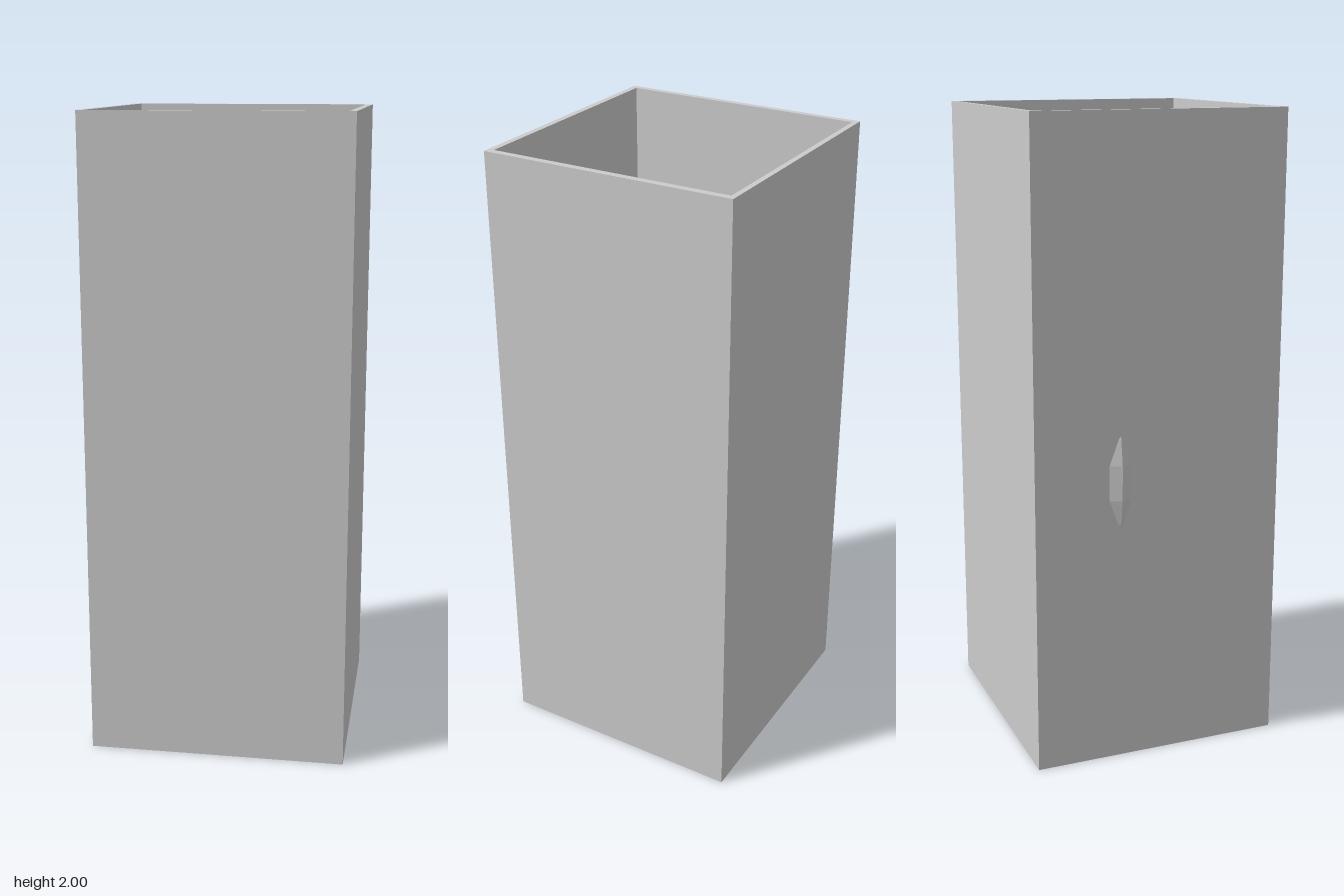
import * as THREE from 'three';

const V2 = (x, y) => new THREE.Vector2(x, y);
const { lerp, smoothstep } = THREE.MathUtils;

// Floor levels, and the lines z(x) along which the ground steps between them
const LOW = 0.005, MID = 0.66, HIGH = 1.12;
const lowLine = [[-0.4, -0.035], [-0.19, -0.03], [-0.09, 0.03], [0, 0.11], [0.07, 0.21], [0.14, 0.32], [0.19, 0.385], [0.41, 0.5]];
const highLine = [[-0.4, -0.2], [0.05, -0.22], [0.062, -0.16], [0.1, -0.11], [0.16, -0.065], [0.28, -0.045], [0.34, 0], [0.37, 0.05], [0.41, 0.09]];

const lineAt = (line, x) => {
  const i = line.findIndex(([px], k) => k > 0 && x <= px);
  const [[x0, z0], [x1, z1]] = [line[i - 1], line[i]];
  return lerp(z0, z1, (x - x0) / (x1 - x0));
};
const levelAt = (x, z) => (z > lineAt(lowLine, x) ? LOW : z < lineAt(highLine, x) ? HIGH : MID);

// Soft slopes on top of the upper two levels
const surface = (level, x, z) => {
  if (level === LOW) return LOW;
  if (level === MID) return MID - 0.06 * smoothstep(z, 0, 0.25) * smoothstep(x, 0, 0.12);
  return HIGH - 0.14 * smoothstep(z, -0.32, -0.02) * smoothstep(x, 0.08, 0.39);
};

// Terrain sheet of square cells, with upright faces where neighbouring levels differ
function terrainGeometry(x0, x1, z0, z1, n) {
  const p = [];
  const quad = (a, b, c, d) => p.push(...a, ...b, ...c, ...a, ...c, ...d);
  const X = (i) => lerp(x0, x1, i / n), Z = (j) => lerp(z0, z1, j / n);
  const cell = (i, j) => levelAt(X(i + 0.5), Z(j + 0.5));
  const point = (l, i, j) => [X(i), surface(l, X(i), Z(j)), Z(j)];
  for (let i = 0; i < n; i++) {
    for (let j = 0; j < n; j++) {
      const l = cell(i, j);
      quad(point(l, i, j), point(l, i, j + 1), point(l, i + 1, j + 1), point(l, i + 1, j));
      const east = i < n - 1 ? cell(i + 1, j) : l, south = j < n - 1 ? cell(i, j + 1) : l;
      if (east !== l) quad(point(l, i + 1, j), point(l, i + 1, j + 1), point(east, i + 1, j + 1), point(east, i + 1, j));
      if (south !== l) quad(point(l, i + 1, j + 1), point(l, i, j + 1), point(south, i, j + 1), point(south, i + 1, j + 1));
    }
  }
  const geo = new THREE.BufferGeometry();
  geo.setAttribute('position', new THREE.Float32BufferAttribute(p, 3));
  geo.computeVertexNormals();
  return geo;
}

export function createModel() {
  const root = new THREE.Group();
  const mat = new THREE.MeshStandardMaterial({ color: 0xcccccc, flatShading: true });
  const open = new THREE.MeshStandardMaterial({ color: 0xcccccc, flatShading: true, side: THREE.DoubleSide });

  const add = (name, geo, x, y, z, parent = root, material = mat) => {
    const mesh = new THREE.Mesh(geo, material);
    mesh.name = name;
    mesh.position.set(x, y, z);
    parent.add(mesh);
    return mesh;
  };
  const ground = (x, z) => surface(levelAt(x, z), x, z);

  // Square casing, open at the top and bottom
  const corners = (x0, x1, z0, z1) => [V2(x0, -z1), V2(x1, -z1), V2(x1, -z0), V2(x0, -z0)];
  const outline = new THREE.Shape(corners(-0.395, 0.41, -0.4, 0.4));
  outline.holes.push(new THREE.Path(corners(-0.375, 0.388, -0.383, 0.381).reverse()));
  const casing = new THREE.ExtrudeGeometry(outline, { depth: 2, bevelEnabled: false });
  casing.rotateX(-Math.PI / 2);
  add('casing', casing, 0, 0, 0);

  add('terrain', terrainGeometry(-0.375, 0.388, -0.383, 0.381, 39), 0, 0, 0, root, open);

  // Bulged urn with a narrow open mouth
  const urnGeo = (s) => new THREE.LatheGeometry([
    [0, 0], [0.07, 0], [0.105, 0.11], [0.117, 0.19], [0.117, 0.3], [0.105, 0.38], [0.085, 0.44],
    [0.08, 0.48], [0.07, 0.48], [0.072, 0.43], [0.09, 0.36], [0.09, 0.13], [0, 0.1],
  ].map(([r, y]) => V2(r * s, y * s)), 8);
  add('largeUrn', urnGeo(1), -0.293, MID, -0.128, root, open);

  // Barrel on its side
  const barrel = new THREE.LatheGeometry([
    V2(0, 0), V2(0.107, 0), V2(0.112, 0.006), V2(0.118, 0.1375), V2(0.112, 0.269), V2(0.107, 0.275), V2(0, 0.275),
  ], 8);
  const lying = add('lyingBarrel', barrel, 0.045, HIGH + 0.118, -0.263);
  lying.rotation.z = Math.PI / 2;

  // Tall eight-sided table on the lowest floor, with a tub below its edge
  const table = new THREE.Group();
  table.name = 'table';
  table.position.set(-0.145, LOW, 0.147);
  root.add(table);
  add('tableTop', new THREE.CylinderGeometry(0.165, 0.165, 0.04, 8), 0, 0.8, 0, table);
  add('tablePedestal', new THREE.CylinderGeometry(0.035, 0.05, 0.78, 8), 0, 0.39, 0, table);
  add('tub', new THREE.LatheGeometry([
    V2(0, 0), V2(0.07, 0), V2(0.08, 0.06), V2(0.075, 0.12), V2(0.058, 0.13), V2(0.052, 0.11), V2(0, 0.1),
  ], 8), -0.245, LOW, 0.21, root, open);

  // Upright rings
  for (const [x, z, turn] of [[0.09, -0.262, 1], [0.165, -0.262, 1], [0.274, 0.112, 0]]) {
    const ring = add('ring', new THREE.TorusGeometry(0.067, 0.016, 8, 8), x, ground(x, z) + 0.083, z);
    ring.rotation.y = turn * Math.PI / 2;
  }

  // Small urn with a leaning ring behind it
  add('smallUrn', urnGeo(0.68), 0.274, ground(0.274, 0.277), 0.277, root, open);
  const leaning = add('leaningRing', new THREE.TorusGeometry(0.068, 0.016, 8, 8), 0.274, ground(0.274, 0.26) + 0.06, 0.255);
  leaning.rotation.x = -1.1;

  // Rocks
  for (const [x, z, r] of [[0.185, 0.322, 0.048], [0.345, 0.282, 0.045]])
    add('rock', new THREE.DodecahedronGeometry(r), x, ground(x, z) + r * 0.9, z);

  return root;
}
